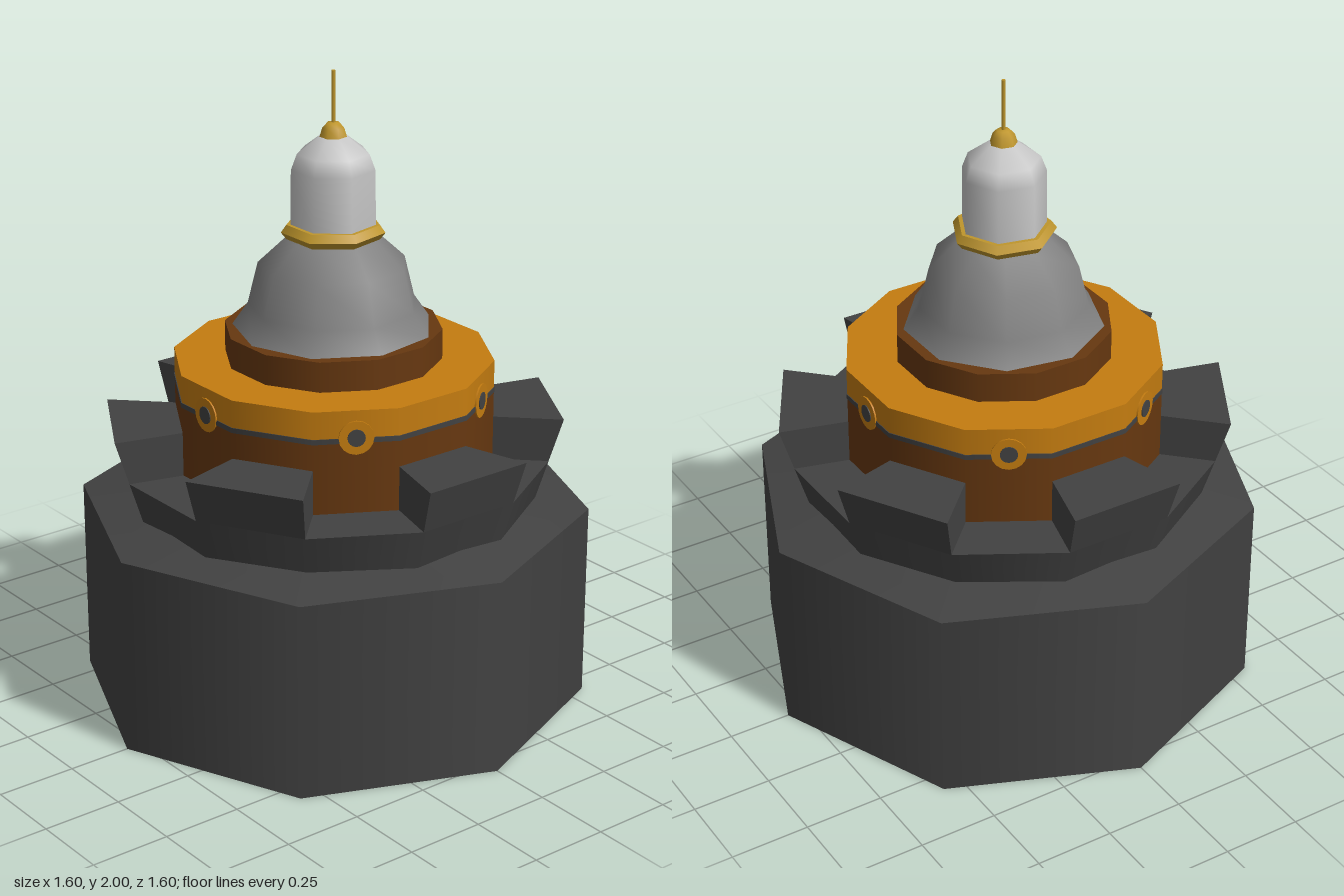
import * as THREE from 'three';
import { mergeGeometries } from 'three/addons/utils/BufferGeometryUtils.js';

const mat = (name, color, side = THREE.FrontSide) => {
  const m = new THREE.MeshStandardMaterial({ color, side });
  m.name = name;
  return m;
};
const TAN = Math.tan(Math.PI / 12), COS = Math.cos(Math.PI / 12);

export function createModel() {
  const model = new THREE.Group();
  model.name = 'tower';
  const stone = mat('dark stone', 0x424242, THREE.DoubleSide);
  const orange = mat('orange', 0xc47c10);
  const brown = mat('brown', 0x673810);
  const grey = mat('roof grey', 0x808080);
  const pale = mat('pale grey', 0xc6c6c6);
  const gold = mat('gold', 0xbf962c);

  const add = (name, geometry, material, parent = model) => {
    const mesh = new THREE.Mesh(geometry, material);
    mesh.name = name;
    parent.add(mesh);
    return mesh;
  };
  const lathe = (pts, sides, start) =>
    new THREE.LatheGeometry(pts.map(([r, y]) => new THREE.Vector2(r, y)), sides, start);
  // Smooth around, with a crisp edge at every profile point
  const shell = (pts, sides, start) =>
    mergeGeometries(pts.slice(1).map((p, i) => lathe([pts[i], p], sides, start)));
  // Twelve-sided solid with flats facing the axes; r is measured to the flats
  const drum = (r, y0, y1) =>
    new THREE.CylinderGeometry(r / COS, r / COS, y1 - y0, 12, 1, false, Math.PI / 12)
      .translate(0, (y0 + y1) / 2, 0);

  // Octagonal base, hollow and open below
  add('base', shell([[0.8, 0], [0.8, 0.625], [0.58, 0.667]], 8, 0), stone);

  // Flared parapet with six battlements
  const flare = y => 0.61 + 0.08 * (y - 0.65) / 0.27;
  add('parapet', shell([[flare(0.645) / COS, 0.645], [flare(0.78) / COS, 0.78], [0.001, 0.78]],
    12, Math.PI / 12), stone);
  const wedge = new THREE.BoxGeometry(1, 1, 1);
  const pos = wedge.attributes.position;
  for (let i = 0; i < pos.count; i++) {
    const y = pos.getY(i) > 0 ? 0.92 : 0.78;
    const r = pos.getZ(i) > 0 ? flare(y) : 0.46;
    pos.setXYZ(i, Math.sign(pos.getX(i)) * r * TAN, y, r);
  }
  wedge.computeVertexNormals();
  for (let i = 0; i < 6; i++) {
    add('battlement', wedge, stone).rotation.y = i * Math.PI / 3;
  }

  // Drum with painted band
  add('lowerDrum', drum(0.48, 0.77, 1.005), brown);
  add('drumBand', drum(0.48, 1.005, 1.105), orange);
  add('bandLine', drum(0.4825, 1.003, 1.019), stone);
  add('upperDrum', drum(0.325, 1.1, 1.2), brown);

  // Round studs on the flats between the battlements
  const disc = (r, z) => new THREE.CylinderGeometry(r, r, 0.008, 16)
    .rotateX(Math.PI / 2).translate(0, 1.02, z);
  for (let i = 0; i < 6; i++) {
    const stud = new THREE.Group();
    stud.name = 'stud';
    stud.rotation.y = Math.PI / 6 + i * Math.PI / 3;
    add('studPlate', disc(0.053, 0.481), orange, stud);
    add('studCentre', disc(0.027, 0.484), stone, stud);
    model.add(stud);
  }

  // Bell roof, collar and lantern dome
  add('bellRoof', lathe([[0.31, 1.2], [0.262, 1.27], [0.23, 1.4], [0.145, 1.48], [0.1, 1.5]],
    9, -Math.PI / 2), grey);
  add('collar', shell([[0.11, 1.485], [0.145, 1.485], [0.162, 1.507], [0.145, 1.53], [0.11, 1.53]],
    7, Math.PI / 2), gold);
  add('dome', lathe([[0.132, 1.52], [0.13, 1.7], [0.112, 1.748], [0.045, 1.798], [0.001, 1.8]],
    7, Math.PI / 2), pale);

  // Finial and spire
  add('finial', lathe([[0.044, 1.792], [0.034, 1.825], [0.02, 1.84], [0.001, 1.842]],
    7, Math.PI / 2), gold);
  add('spire', new THREE.CylinderGeometry(0.006, 0.006, 0.17, 6).translate(0, 1.915, 0), gold);
  return model;
}
